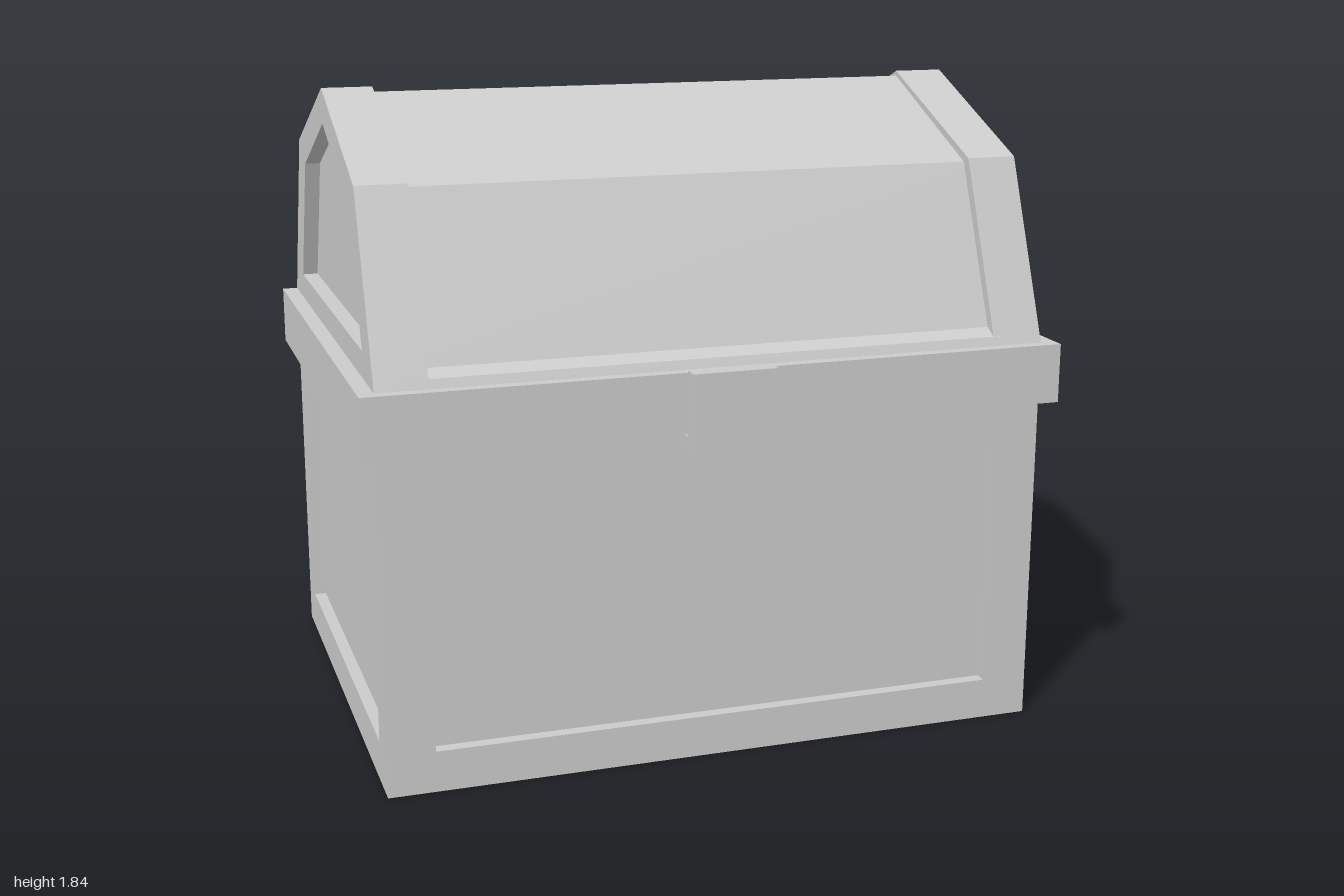
import * as THREE from 'three';

const material = new THREE.MeshStandardMaterial({ color: 0xcccccc, flatShading: true });
const smoothMaterial = new THREE.MeshStandardMaterial({ color: 0xcccccc });
const HALF_X = 0.955, HALF_Z = 0.716, BODY_TOP = 0.96, RECESS = 0.035;

function add(parent, name, geometry, mat = material) {
  const mesh = new THREE.Mesh(geometry, mat);
  mesh.name = name;
  parent.add(mesh);
  return mesh;
}

// Box given by its limits on each axis
function box(x0, x1, y0, y1, z0, z1) {
  return new THREE.BoxGeometry(x1 - x0, y1 - y0, z1 - z0)
    .translate((x0 + x1) / 2, (y0 + y1) / 2, (z0 + z1) / 2);
}

// Points for one half of a symmetric outline, from the base up to the ridge
function mirrored(half) {
  const other = half.filter(([x]) => x > 0).reverse().map(([x, y]) => [-x, y]);
  return [...half, ...other].map(([x, y]) => new THREE.Vector2(x, y));
}

function extrude(outline, hole, depth) {
  const shape = new THREE.Shape(outline);
  if (hole) shape.holes.push(new THREE.Path(hole));
  return new THREE.ExtrudeGeometry(shape, { depth, bevelEnabled: false });
}

// Flat border around a recessed panel
function panelFrame(halfWidth, holeHalfWidth) {
  const rect = (w, y0, y1) => mirrored([[w, y0], [w, y1]]);
  return extrude(rect(halfWidth, 0, BODY_TOP), rect(holeHalfWidth, 0.118, 0.84), RECESS);
}

export function createModel() {
  const model = new THREE.Group();
  model.name = 'chest';

  // Body, lid and rim share a centre slightly behind the origin
  const shell = new THREE.Group();
  shell.name = 'shell';
  shell.position.z = -0.022;
  model.add(shell);

  // Body: inner block with a border on each of its four sides
  const cx = HALF_X - RECESS, cz = HALF_Z - RECESS;
  add(shell, 'bodyCore', box(-cx, cx, 0, BODY_TOP, -cz, cz));
  for (const [name, turn] of [['front', 0], ['back', Math.PI]]) {
    const frame = add(shell, name + 'Frame', panelFrame(HALF_X, 0.82).translate(0, 0, cz));
    frame.rotation.y = turn;
  }
  for (const [name, turn] of [['left', Math.PI / 2], ['right', -Math.PI / 2]]) {
    const frame = add(shell, name + 'Frame', panelFrame(cz, 0.603).translate(0, 0, cx));
    frame.rotation.y = turn;
  }

  // Lid: sunken middle section between two raised end arches
  const core = mirrored([[HALF_Z, 1.13], [0.706, 1.155], [0.667, 1.175], [0.478, 1.622], [0, 1.825]]);
  add(shell, 'lidCore', extrude(core, null, 1.82).translate(0, 0, -0.91).rotateY(Math.PI / 2));
  const arch = mirrored([[HALF_Z, 1.13], [0.507, 1.635], [0, 1.84]]);
  const opening = mirrored([[0.551, 1.205], [0.395, 1.575], [0, 1.74]]);
  for (const [name, turn] of [['left', Math.PI / 2], ['right', -Math.PI / 2]]) {
    const end = add(shell, name + 'LidArch', extrude(arch, opening, HALF_X - 0.81).translate(0, 0, 0.81));
    end.rotation.y = turn;
  }

  // Rim: overhangs the front and ends, flush at the back
  add(model, 'rim', box(-1, 1, BODY_TOP, 1.13, -0.738, 0.728));

  // Lock: plate with a foot turned back below the rim
  const lock = new THREE.Group();
  lock.name = 'lock';
  model.add(lock);
  add(lock, 'lockPlate', box(-0.12, 0.12, 0.908, 1.138, 0.736, 0.782));
  add(lock, 'lockFoot', box(-0.12, 0.12, 0.908, 0.955, 0.704, 0.736));

  // Hinge: round bar half sunk in the back
  const hinge = add(model, 'hinge', new THREE.CylinderGeometry(0.045, 0.045, 0.57, 24), smoothMaterial);
  hinge.rotation.z = Math.PI / 2;
  hinge.position.set(0, 0.955, -0.736);

  return model;
}
